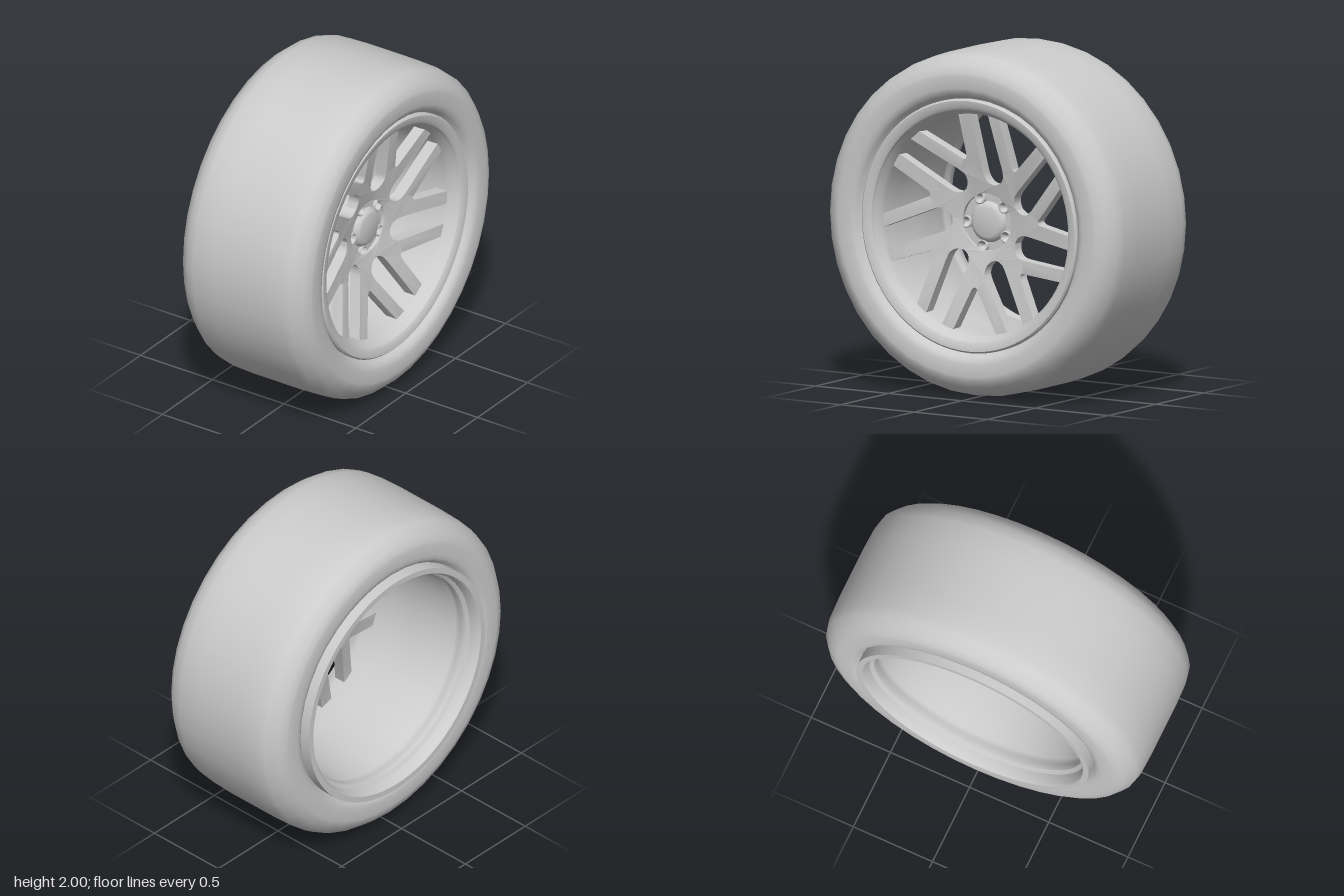
import * as THREE from 'three';
import { toCreasedNormals } from 'three/addons/utils/BufferGeometryUtils.js';

const SPOKE_PAIRS = 7, LUGS = 5;
const STEP = (Math.PI * 2) / SPOKE_PAIRS;
const grey = new THREE.MeshStandardMaterial({ color: 0xcccccc });
const rad = THREE.MathUtils.degToRad;

function part(name, geometry) {
  const mesh = new THREE.Mesh(geometry, grey);
  mesh.name = name;
  return mesh;
}

// Profile of [radius, x] pairs turned about the x axis
function turned(profile, segments, crease) {
  const pts = profile.map(([r, x]) => new THREE.Vector2(r, x));
  const geo = new THREE.LatheGeometry(pts, segments).rotateZ(-Math.PI / 2);
  return toCreasedNormals(geo, crease);
}

function circle(PathType, x, y, r) {
  return new PathType().absarc(x, y, r, 0, Math.PI * 2, false);
}

// One forked pair of spokes with its share of the hub
function spokePairGeometry() {
  const toPoints = (list, turn) => list.map(([x, y]) => new THREE.Vector2(x, y).rotateAround(new THREE.Vector2(), turn));
  const lowerEdge = toPoints([[0.06, 0.218], [0.022, 0.232], [-0.004, 0.268], [-0.014, 0.32]], -STEP);
  const fork = toPoints([[0.25, 0.336], [0.234, 0.322], [0.216, 0.316], [0.204, 0.325], [0.2, 0.345]], 0);
  const upperEdge = toPoints([[0.128, 0.32], [0.128, 0.27], [0.102, 0.234], [0.06, 0.218]], 0);
  const hubAngle = upperEdge[3].angle();

  const shape = new THREE.Shape();
  shape.absarc(0, 0, 0.165, hubAngle, hubAngle - STEP, true);
  shape.lineTo(lowerEdge[0].x, lowerEdge[0].y);
  shape.splineThru(lowerEdge.slice(1));
  shape.absarc(0, 0, 0.66, rad(42.6), rad(49.6), false);
  shape.lineTo(fork[0].x, fork[0].y);
  shape.splineThru(fork.slice(1));
  shape.absarc(0, 0, 0.66, rad(77), rad(83.6), false);
  shape.lineTo(upperEdge[0].x, upperEdge[0].y);
  shape.splineThru(upperEdge.slice(1));

  const geo = new THREE.ExtrudeGeometry(shape, { depth: 0.07, bevelEnabled: false, curveSegments: 8 });
  // Dish: the spokes come forward from the hub to the rim
  const pos = geo.attributes.position;
  for (let i = 0; i < pos.count; i++) {
    const r = Math.hypot(pos.getX(i), pos.getY(i));
    pos.setZ(i, pos.getZ(i) + 0.165 + 0.11 * (r - 0.165) / 0.48);
  }
  return toCreasedNormals(geo.rotateY(Math.PI / 2), 0.5);
}

export function createModel() {
  const wheel = new THREE.Group();
  wheel.name = 'wheel';

  // Tyre with rounded shoulders and flat sidewalls
  wheel.add(part('tyre', turned([
    [0.70, -0.36], [0.735, -0.385], [0.755, -0.415], [0.775, -0.427], [0.80, -0.43], [0.87, -0.43], [0.89, -0.425],
    [0.93, -0.405], [0.98, -0.345], [0.995, -0.29], [1, -0.15], [1, 0.18], [0.995, 0.31], [0.982, 0.375],
    [0.935, 0.43], [0.89, 0.457], [0.87, 0.46], [0.80, 0.46], [0.775, 0.452], [0.755, 0.435], [0.735, 0.395], [0.70, 0.37],
  ], 40, 0.8)));

  // Rim barrel with a lip on each side and a bead hump at the back
  wheel.add(part('rim', turned([
    [0.735, -0.465], [0.735, -0.38], [0.70, -0.36], [0.685, -0.33], [0.685, 0.36], [0.70, 0.37], [0.735, 0.385],
    [0.735, 0.42], [0.725, 0.43], [0.69, 0.427], [0.672, 0.415], [0.662, 0.39], [0.645, 0.365],
    [0.638, 0.33], [0.635, 0.18], [0.645, 0.02], [0.65, -0.27], [0.665, -0.30], [0.665, -0.33],
    [0.655, -0.355], [0.66, -0.38], [0.682, -0.395], [0.688, -0.45], [0.70, -0.465], [0.735, -0.465],
  ], 72, 0.6)));

  const spokeGeo = spokePairGeometry();
  for (let i = 0; i < SPOKE_PAIRS; i++) {
    const pair = part('spokePair', spokeGeo);
    pair.rotation.x = i * STEP;
    wheel.add(pair);
  }

  // Hub plate with bolt holes
  const plate = circle(THREE.Shape, 0, 0, 0.18);
  const bolts = [];
  for (let i = 0; i < LUGS; i++) {
    const a = rad(40 + i * 360 / LUGS);
    bolts.push([0.145 * Math.cos(a), 0.145 * Math.sin(a)]);
  }
  plate.holes.push(...bolts.map(([x, y]) => circle(THREE.Path, x, y, 0.02)));
  const plateGeo = new THREE.ExtrudeGeometry(plate, { depth: 0.085, bevelEnabled: false, curveSegments: 24 });
  wheel.add(part('hubPlate', toCreasedNormals(plateGeo.translate(0, 0, 0.13).rotateY(Math.PI / 2), 0.5)));

  // Raised centre cap with a sloped edge
  wheel.add(part('centreCap', turned([
    [0, 0.2], [0.125, 0.2], [0.115, 0.225], [0.1, 0.242], [0.085, 0.247], [0, 0.248],
  ], 40, 0.9)));

  // Countersunk bolt seats
  const seat = turned([
    [0.036, 0.18], [0.036, 0.23], [0.03, 0.234], [0.014, 0.205], [0.014, 0.13], [0.022, 0.13], [0.036, 0.18],
  ], 20, 0.5);
  for (const [x, y] of bolts) {
    const lug = part('boltSeat', seat);
    lug.position.set(0, y, -x);
    wheel.add(lug);
  }

  wheel.position.y = 1;
  const model = new THREE.Group();
  model.add(wheel);
  return model;
}
